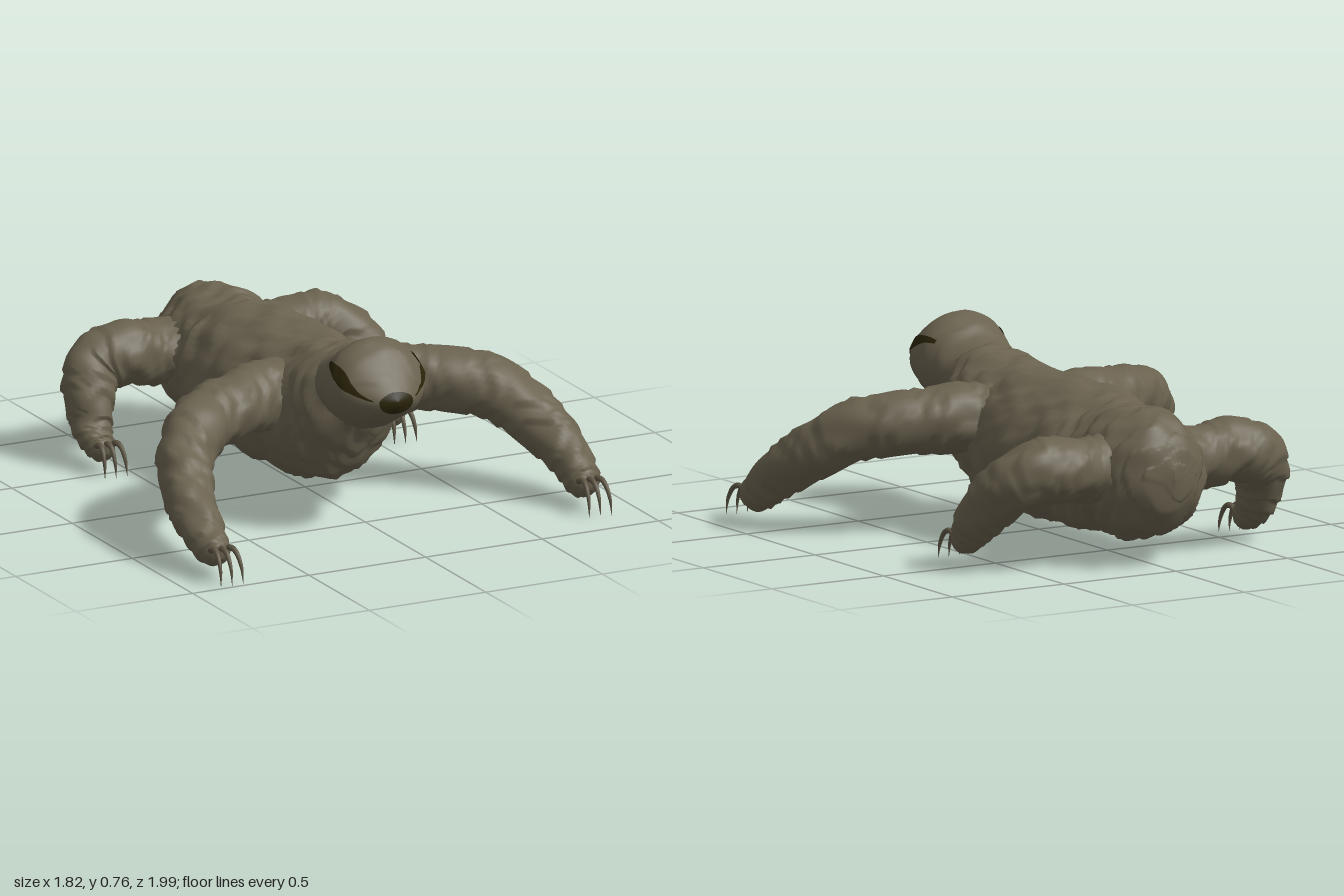
import * as THREE from 'three';

const mat = (name, color, side = THREE.FrontSide) => {
  const m = new THREE.MeshStandardMaterial({ color, side });
  m.name = name;
  return m;
};

// Bumpy fur: soft lumps plus overlapping tufts that step along the length
function furBump(p, t, tufts) {
  const lumps = Math.sin(23 * p.x + 9 * p.y) * Math.sin(19 * p.z + 2) + 0.7 * Math.sin(41 * p.y + 13 * p.z) * Math.sin(37 * p.x - 17 * p.z);
  const wave = t * tufts + 0.35 * Math.sin(31 * p.x) + 0.3 * Math.sin(27 * p.y);
  return 0.5 * lumps + (wave - Math.floor(wave)) - 0.5;
}

// Returns a function (t, angle) giving a point on a swept skin.
// Stations are [x, y, z, halfWidth, halfHeight].
function sweep(stations, { fur = 0, tufts = 10, upright = false } = {}) {
  const spine = new THREE.CatmullRomCurve3(stations.map(s => new THREE.Vector3(s[0], s[1], s[2])));
  const radii = new THREE.CatmullRomCurve3(stations.map(s => new THREE.Vector3(s[3], s[4] ?? s[3], 0)));
  const up = new THREE.Vector3(0, 1, 0);
  return (t, a, lift = 0) => {
    const c = spine.getPoint(t);
    const r = radii.getPoint(t);
    const dir = upright ? new THREE.Vector3(0, 0, 1) : spine.getTangent(t);
    const side = up.clone().cross(dir).normalize();
    const top = dir.clone().cross(side);
    const out = side.multiplyScalar(Math.max(r.x, 0) * Math.cos(a)).addScaledVector(top, Math.max(r.y, 0) * Math.sin(a));
    const p = c.add(out);
    const len = out.length();
    if (len > 1e-5) p.addScaledVector(out.divideScalar(len), lift + fur * Math.min(1, len / 0.08) * furBump(p, t, tufts));
    return p;
  };
}

// Grid mesh over a skin function; a full turn is welded at the seam
function skin(name, fn, material, nu, nv, { t0 = 0, t1 = 1, a0 = () => 0, a1 = () => Math.PI * 2, lift = 0, closed = true } = {}) {
  const pos = [], index = [];
  const cols = closed ? nv : nv + 1;
  for (let i = 0; i <= nu; i++) {
    const k = i / nu, t = t0 + (t1 - t0) * k;
    for (let j = 0; j < cols; j++) {
      const p = fn(t, a0(k) + (a1(k) - a0(k)) * j / nv, lift);
      pos.push(p.x, p.y, p.z);
    }
  }
  for (let i = 0; i < nu; i++) for (let j = 0; j < nv; j++) {
    const a = i * cols + j, b = i * cols + (j + 1) % cols;
    index.push(a, b, a + cols, b, b + cols, a + cols);
  }
  const g = new THREE.BufferGeometry();
  g.setAttribute('position', new THREE.Float32BufferAttribute(pos, 3));
  g.setIndex(index);
  g.computeVertexNormals();
  const mesh = new THREE.Mesh(g, material);
  mesh.name = name;
  return mesh;
}

// [z, halfWidth, top, bottom] to a sweep station
const ring = ([z, w, top, bottom]) => [0, (top + bottom) / 2, z, w, (top - bottom) / 2];

// One limb with three hooked claws. The path is for the left side; a mirrored
// limb also slides its lower part along z by `slide`, growing from station `bend`.
function makeLimb(name, path, { sign, slide, bend, span, reach }, fur, claw) {
  const limb = new THREE.Group();
  limb.name = name;
  const stations = path.map(([x, y, z, r], i) =>
    [sign * x, y, z + slide * THREE.MathUtils.clamp((i - bend) / span, 0, 1), r]);
  const [px, py, pz, pr] = stations[stations.length - 1];
  stations.push([px, py - 0.015, pz + 0.04, pr * 0.6], [px, py - 0.02, pz + 0.052, 0]);
  limb.add(skin(name + 'Fur', sweep(stations, { fur: 0.012, tufts: 13 }), fur, 80, 36));

  const y = py - 0.02, z = pz + 0.05;
  for (const k of [-1, 0, 1]) {
    const x = px + k * 0.036;
    const hook = sweep([
      [x, y + 0.01, z - 0.05, 0.013], [x, y + 0.045, z + reach * 0.1, 0.012],
      [x + k * 0.004, y + 0.035, z + reach * 0.5, 0.01], [x + k * 0.009, y - 0.015, z + reach * 0.82, 0.007],
      [x + k * 0.012, 0.012, z + reach * 0.92, 0],
    ]);
    limb.add(skin('claw', hook, claw, 14, 8));
  }
  return limb;
}

export function createModel() {
  const fur = mat('brown fur', 0x6a624f);
  const dark = mat('dark face marking', 0x2a2408, THREE.DoubleSide);
  const claw = mat('claw', 0x5f5746);
  const model = new THREE.Group();
  model.name = 'sloth';

  // Torso, from rump to neck
  const torso = sweep([
    [-0.995, 0, 0.4, 0.36], [-0.965, 0.12, 0.5, 0.24], [-0.88, 0.2, 0.58, 0.14],
    [-0.74, 0.245, 0.605, 0.1], [-0.6, 0.25, 0.6, 0.1], [-0.48, 0.295, 0.615, 0.09],
    [-0.2, 0.315, 0.63, 0.085], [0.1, 0.275, 0.635, 0.095], [0.28, 0.235, 0.665, 0.14],
    [0.38, 0.18, 0.67, 0.28], [0.48, 0, 0.6, 0.45],
  ].map(ring), { fur: 0.016, tufts: 14, upright: true });
  model.add(skin('torso', torso, fur, 110, 64));

  // Head, tapering to the muzzle
  const head = sweep([
    [0.3, 0.13, 0.66, 0.45], [0.42, 0.168, 0.69, 0.42], [0.48, 0.18, 0.735, 0.405], [0.56, 0.193, 0.768, 0.405],
    [0.64, 0.182, 0.735, 0.445], [0.7, 0.138, 0.665, 0.475], [0.755, 0.07, 0.6, 0.52], [0.775, 0, 0.565, 0.555],
  ].map(ring), { fur: 0.004, tufts: 6, upright: true });
  model.add(skin('head', head, fur, 50, 48));

  // Eye stripes, mirrored across the face, and the nose
  const centre = k => 0.6 - 0.5 * k + 0.12 * k * k;
  const half = k => 0.04 + 0.11 * Math.sin(Math.PI * k) * (1 - 0.35 * Math.sin(9 * k));
  const lo = k => centre(k) - half(k), hi = k => centre(k) + half(k);
  const stripe = { t0: 0.32, t1: 0.82, lift: 0.005, closed: false };
  model.add(skin('leftEyeStripe', head, dark, 24, 5, { ...stripe, a0: lo, a1: hi }));
  model.add(skin('rightEyeStripe', head, dark, 24, 5, { ...stripe, a0: k => Math.PI - hi(k), a1: k => Math.PI - lo(k) }));
  model.add(skin('nose', head, dark, 8, 32, { t0: 0.86, lift: 0.004 }));

  // Limb paths from body to paw: [x, y, z, radius]
  const arm = [
    [0.14, 0.45, 0.1, 0.13], [0.3, 0.45, 0.14, 0.132], [0.46, 0.44, 0.2, 0.125], [0.61, 0.415, 0.29, 0.123],
    [0.72, 0.345, 0.4, 0.113], [0.79, 0.25, 0.52, 0.1], [0.82, 0.17, 0.63, 0.085], [0.825, 0.115, 0.71, 0.068],
  ];
  const leg = [
    [0.12, 0.38, -0.73, 0.14], [0.28, 0.39, -0.735, 0.125], [0.42, 0.4, -0.735, 0.127], [0.53, 0.36, -0.69, 0.115],
    [0.58, 0.26, -0.59, 0.1], [0.595, 0.16, -0.5, 0.08], [0.59, 0.105, -0.435, 0.062],
  ];
  const armRule = { bend: 4, span: 3, reach: 0.105 };
  const legRule = { bend: 2, span: 3, reach: 0.085 };
  model.add(
    makeLimb('leftArm', arm, { ...armRule, sign: 1, slide: 0 }, fur, claw),
    makeLimb('rightArm', arm, { ...armRule, sign: -1, slide: 0.135 }, fur, claw),
    makeLimb('leftLeg', leg, { ...legRule, sign: 1, slide: 0 }, fur, claw),
    makeLimb('rightLeg', leg, { ...legRule, sign: -1, slide: -0.12 }, fur, claw),
  );
  return model;
}
